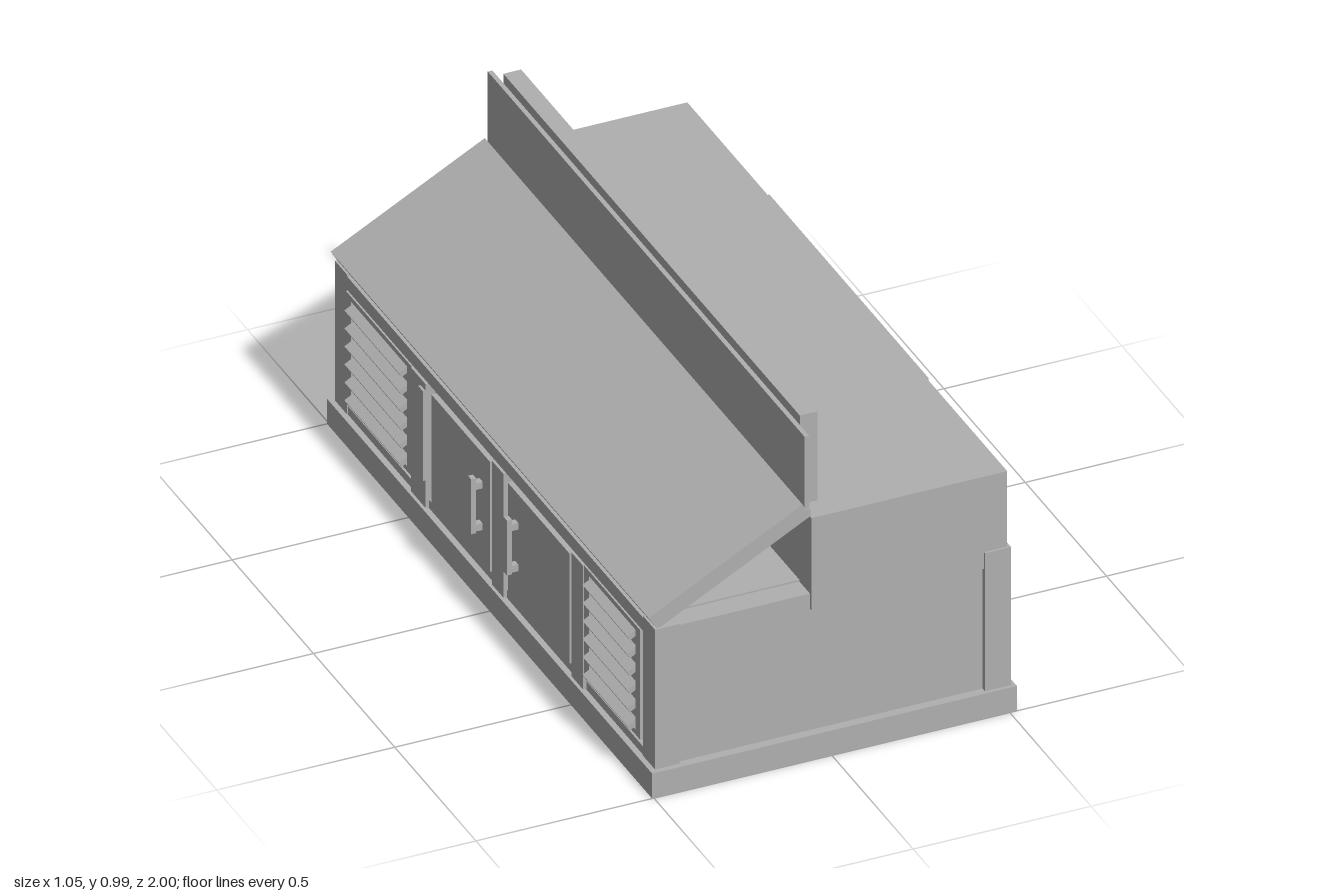
import * as THREE from 'three';

export function createModel() {
  const grey = new THREE.MeshStandardMaterial({ color: 0xb0b0b0 });
  grey.name = 'console grey';
  const root = new THREE.Group();
  root.name = 'controlConsole';

  // Box given by its minimum and maximum on each axis
  function box(name, [x0, x1], [y0, y1], [z0, z1], parent = root) {
    const m = new THREE.Mesh(new THREE.BoxGeometry(x1 - x0, y1 - y0, z1 - z0), grey);
    m.position.set((x0 + x1) / 2, (y0 + y1) / 2, (z0 + z1) / 2);
    m.name = name;
    parent.add(m);
    return m;
  }
  // Profile in x and y, extruded along z
  function prism(name, points, halfZ) {
    const shape = new THREE.Shape(points.map(([x, y]) => new THREE.Vector2(x, y)));
    const g = new THREE.ExtrudeGeometry(shape, { depth: halfZ * 2, bevelEnabled: false });
    g.translate(0, 0, -halfZ);
    const m = new THREE.Mesh(g, grey);
    m.name = name;
    root.add(m);
  }
  // Rectangular frame of four bars, facing along x
  function frame(name, x, [y0, y1], [z0, z1], wy, wz) {
    const g = new THREE.Group();
    g.name = name;
    root.add(g);
    box('lowerBar', x, [y0, y0 + wy], [z0, z1], g);
    box('upperBar', x, [y1 - wy, y1], [z0, z1], g);
    box('sideBar', x, [y0 + wy, y1 - wy], [z0, z0 + wz], g);
    box('sideBar', x, [y0 + wy, y1 - wy], [z1 - wz, z1], g);
    return g;
  }

  // Plinth, lower cabinet and upper housing
  box('plinth', [-0.505, 0.52], [0, 0.075], [-1, 1]);
  box('lowerCabinet', [-0.47, 0.495], [0.075, 0.485], [-0.975, 0.975]);
  box('upperHousing', [-0.05, 0.5], [0.44, 0.717], [-0.984, 0.984]);

  // Corner posts
  for (const s of [-1, 1]) {
    const z = s > 0 ? [0.91, 0.985] : [-0.985, -0.91];
    const zBack = s > 0 ? [0.91, 0.99] : [-0.99, -0.91];
    box('doorSidePost', [-0.49, -0.42], [0.075, 0.495], z);
    box('socketSidePost', [0.435, 0.508], [0.075, 0.49], zBack);
  }

  // Sloping desk panel and upright boards
  prism('slopingDesk', [[-0.505, 0.53], [-0.48, 0.49], [-0.05, 0.72], [-0.05, 0.742],
    [-0.063, 0.742], [-0.072, 0.76]], 0.978);
  box('uprightPanel', [-0.065, -0.052], [0.74, 0.96], [-0.975, 0.975]);
  box('uprightBoard', [-0.05, 0], [0.717, 0.985], [-0.912, 0.912]);

  // Cladding on the socket side, with stepped seams
  box('upperCladding', [0.499, 0.505], [0.44, 0.717], [-0.49, 0.49]);
  box('lowerCladding', [0.494, 0.5], [0.075, 0.44], [0, 0.48]);
  box('lowerCladding', [0.494, 0.502], [0.075, 0.44], [-0.48, 0]);
  for (const s of [-1, 1])
    box('lowerCladding', [0.494, 0.498], [0.075, 0.44], s > 0 ? [0.48, 0.91] : [-0.91, -0.48]);

  // Connector boxes with sunken plates
  for (const c of [0.735, -0.733]) {
    const z = (a, b) => [c + a, c + b];
    frame('connectorFrame', [0.495, 0.525], [0.135, 0.34], z(-0.17, 0.17), 0.033, 0.047);
    box('connectorPlate', [0.495, 0.508], [0.168, 0.307], z(-0.123, 0.123));
    box('connector', [0.508, 0.52], [0.185, 0.272], z(0.055, 0.093));
    box('connector', [0.508, 0.52], [0.185, 0.272], z(0.007, 0.045));
    box('switch', [0.508, 0.52], [0.185, 0.25], z(-0.108, -0.042));
  }

  // Header, sill and pillars between the bays
  box('header', [-0.49, -0.05], [0.45, 0.49], [-0.91, 0.91]);
  box('sill', [-0.488, -0.47], [0.075, 0.1], [-0.91, 0.91]);
  for (const [z0, z1] of [[-0.5, -0.41], [0, 0.07], [0.49, 0.56]])
    box('pillar', [-0.498, -0.47], [0.078, 0.45], [z0, z1]);
  box('hingeStrip', [-0.505, -0.498], [0.16, 0.43], [-0.44, -0.41]);

  // Doors with bar handles
  for (const [z0, z1, h] of [[-0.38, -0.02, -0.075], [0.09, 0.47, 0.145]]) {
    box('door', [-0.495, -0.47], [0.105, 0.435], [z0, z1]);
    box('handleBar', [-0.527, -0.513], [0.2, 0.365], [h - 0.01, h + 0.01]);
    for (const y of [0.215, 0.34])
      box('handleFoot', [-0.516, -0.494], [y - 0.01, y + 0.01], [h - 0.01, h + 0.01]);
  }

  // Louvred vents
  for (const [z0, z1] of [[-0.905, -0.5], [0.56, 0.905]]) {
    frame('ventFrame', [-0.495, -0.47], [0.12, 0.45], [z0, z1], 0.015, 0.03);
    for (const y of [0.418, 0.364, 0.31, 0.256, 0.202, 0.148]) {
      const slat = box('ventSlat', [-0.514, -0.482], [y - 0.008, y + 0.008], [z0 + 0.035, z1 - 0.035]);
      slat.rotation.z = Math.PI / 6;
    }
  }
  return root;
}
